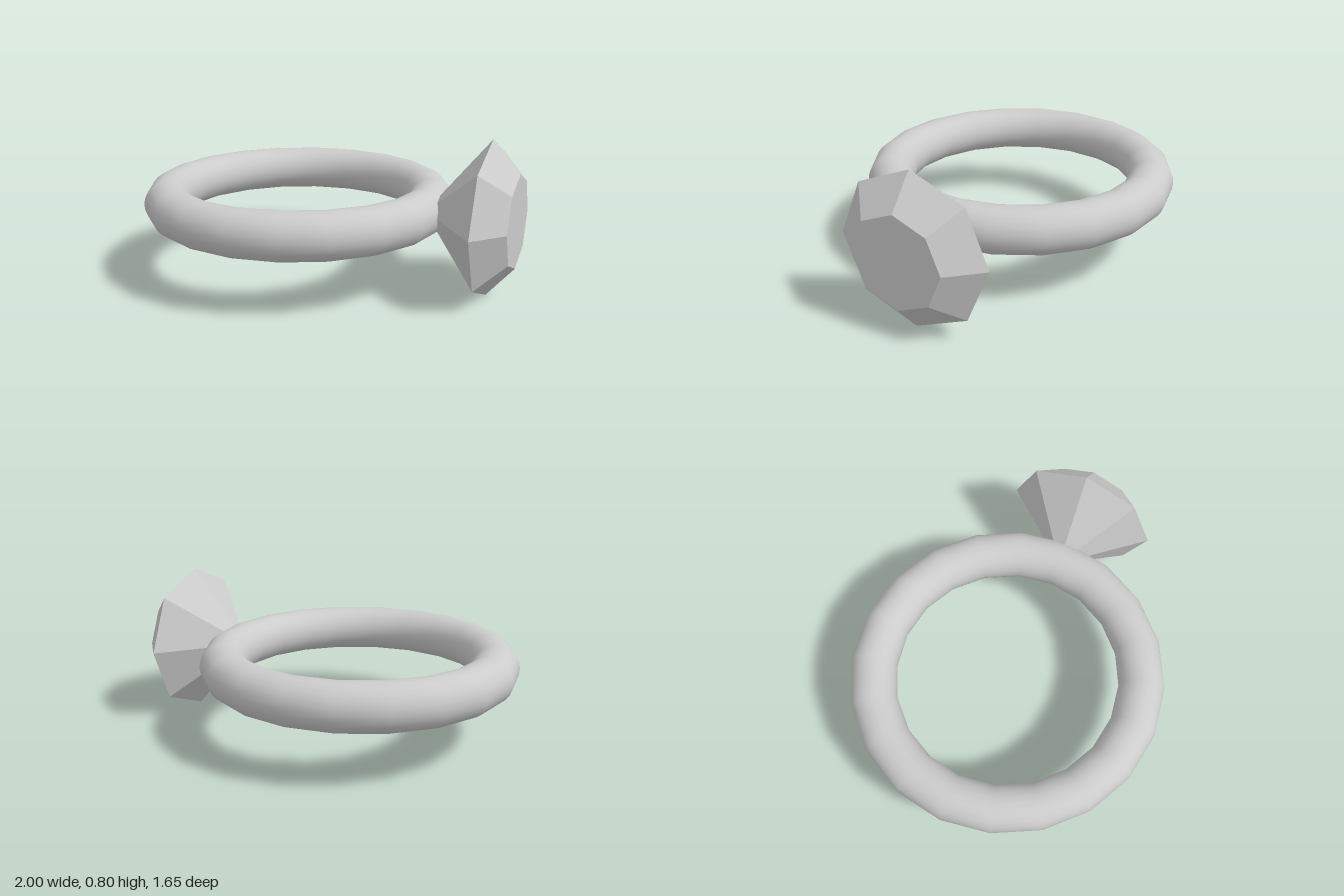
import * as THREE from 'three';

export function createModel() {
  const model = new THREE.Group();
  const centreY = 0.4;

  // Smooth round band lying flat, with 20 segments around the ring
  const band = new THREE.Mesh(
    new THREE.TorusGeometry(0.705, 0.12, 24, 20).rotateX(Math.PI / 2),
    new THREE.MeshStandardMaterial({ color: 0xcccccc })
  );
  band.name = 'band';
  band.position.set(-0.175, centreY, 0);
  model.add(band);

  // Eight-sided faceted gem: point set into the band, girdle, flat table
  const profile = [[0, 0], [0.4, 0.33], [0.24, 0.47], [0, 0.47]]
    .map(([r, h]) => new THREE.Vector2(r, h));
  const gem = new THREE.Mesh(
    new THREE.LatheGeometry(profile, 8).rotateZ(-Math.PI / 2),
    new THREE.MeshStandardMaterial({ color: 0xcccccc, flatShading: true })
  );
  gem.name = 'gem';
  gem.position.set(0.53, centreY, 0);
  model.add(gem);

  return model;
}
